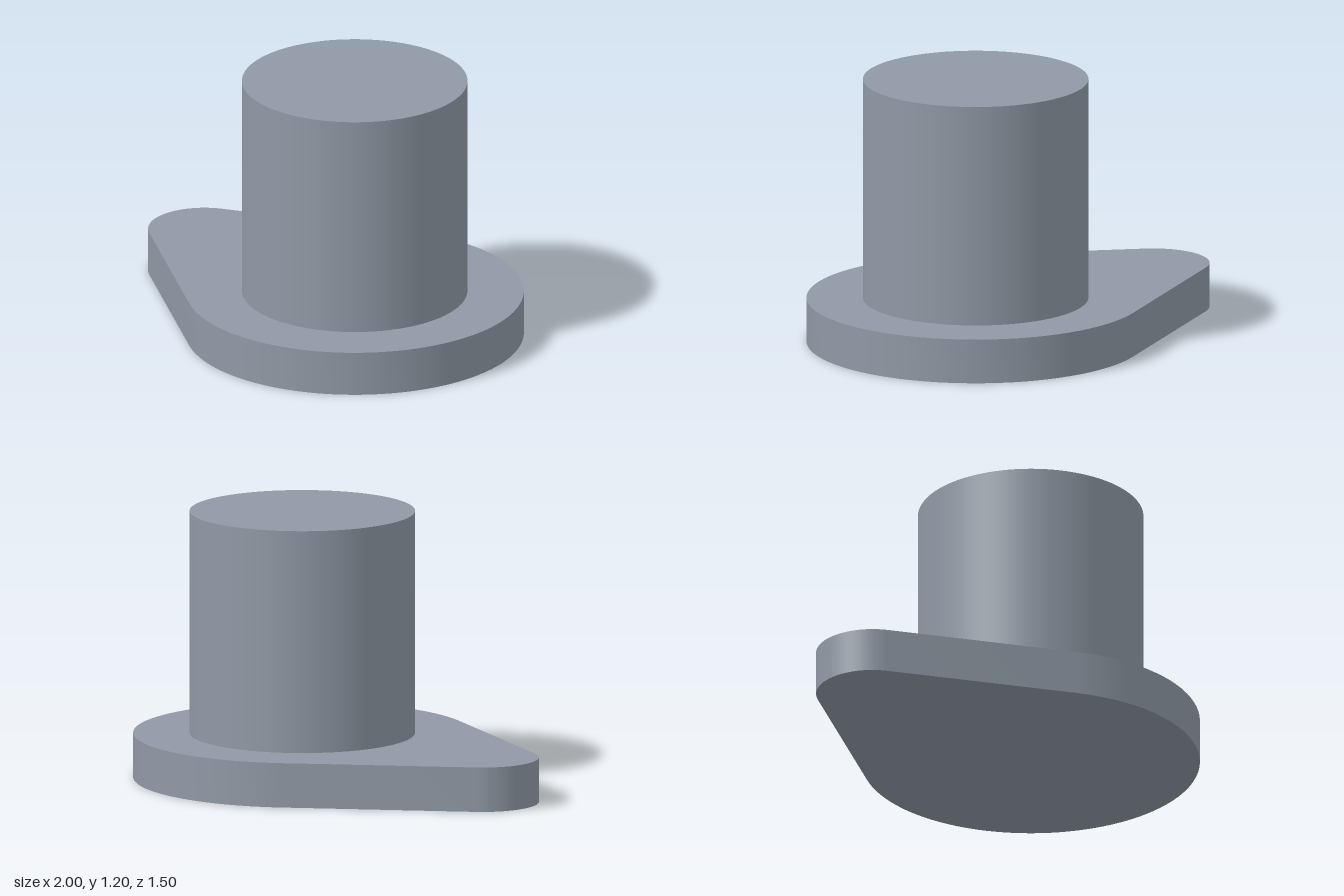
import * as THREE from 'three';
import { toCreasedNormals } from 'three/addons/utils/BufferGeometryUtils.js';

export function createModel() {
  const model = new THREE.Group();
  const steel = new THREE.MeshStandardMaterial({ color: 0x8f99a5 });
  steel.name = 'steel grey';

  const plateHeight = 0.2;
  const postX = 0.25;

  // Teardrop plate: a large and a small arc joined by their common tangents
  const tangent = (2 * Math.PI) / 3;
  const outline = new THREE.Shape();
  outline.absarc(postX, 0, 0.75, -tangent, tangent, false);
  outline.absarc(-0.75, 0, 0.25, tangent, 2 * Math.PI - tangent, false);
  outline.closePath();
  const plateGeometry = new THREE.ExtrudeGeometry(outline, {
    depth: plateHeight, bevelEnabled: false, curveSegments: 48,
  });
  plateGeometry.rotateX(-Math.PI / 2);
  const plate = new THREE.Mesh(toCreasedNormals(plateGeometry, Math.PI / 6), steel);
  plate.name = 'basePlate';
  model.add(plate);

  // Round post, concentric with the large arc
  const postHeight = 1;
  const post = new THREE.Mesh(new THREE.CylinderGeometry(0.5, 0.5, postHeight, 96), steel);
  post.position.set(postX, plateHeight + postHeight / 2, 0);
  post.name = 'post';
  model.add(post);

  return model;
}
